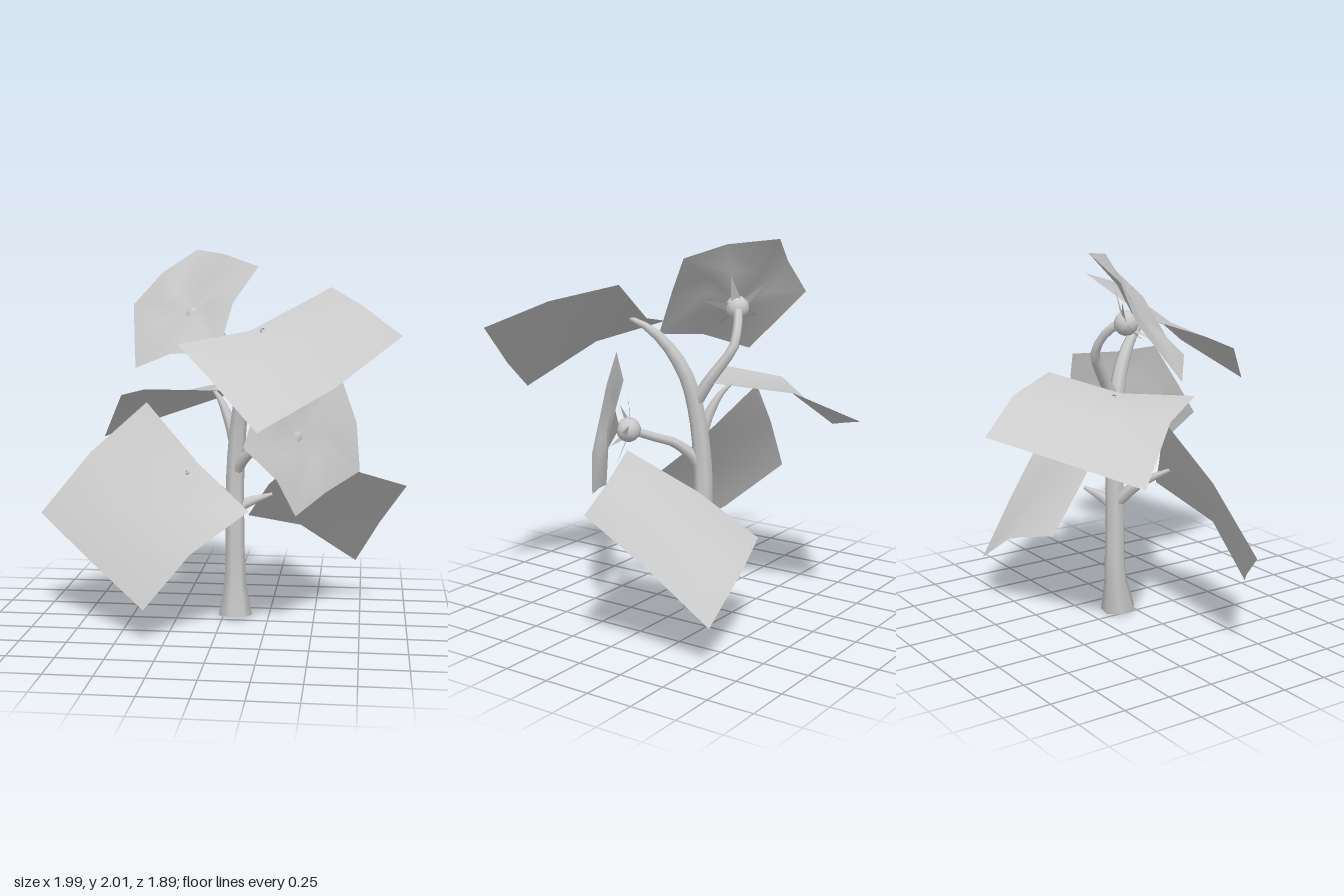
import * as THREE from 'three';

const grey = new THREE.MeshStandardMaterial({ color: 0xcccccc });
const thin = new THREE.MeshStandardMaterial({ color: 0xcccccc, side: THREE.DoubleSide });
const v = (p) => new THREE.Vector3(...p);

function add(parent, name, geometry, material = thin) {
  const mesh = new THREE.Mesh(geometry, material);
  mesh.name = name;
  parent.add(mesh);
  return mesh;
}

// Tube along a curve whose radius follows a list of values
function taperedTube(points, radii, segments = 10, sides = 6) {
  const curve = new THREE.CatmullRomCurve3(points.map(v));
  const geo = new THREE.TubeGeometry(curve, segments, 1, sides, false);
  const pos = geo.attributes.position;
  const p = new THREE.Vector3();
  for (let i = 0; i < pos.count; i++) {
    const t = Math.floor(i / (sides + 1)) / segments;
    const k = t * (radii.length - 1);
    const j = Math.min(Math.floor(k), radii.length - 2);
    const r = THREE.MathUtils.lerp(radii[j], radii[j + 1], k - j);
    const c = curve.getPointAt(t);
    p.fromBufferAttribute(pos, i).sub(c).multiplyScalar(r).add(c);
    pos.setXYZ(i, p.x, p.y, p.z);
  }
  return geo;
}

// Bent square leaf from four corners and four edge middles, both in order round the rim
function leafGeometry(c, m) {
  const corners = c.map(v), mids = m.map(v);
  const centre = new THREE.Vector3();
  mids.forEach((p) => centre.addScaledVector(p, 0.5));
  corners.forEach((p) => centre.addScaledVector(p, -0.25));
  const grid = [corners[0], mids[0], corners[1], mids[3], centre, mids[1], corners[3], mids[2], corners[2]];
  const geo = new THREE.PlaneGeometry(1, 1, 2, 2);
  grid.forEach((p, i) => geo.attributes.position.setXYZ(i, p.x, p.y, p.z));
  geo.computeVertexNormals();
  return geo;
}

// Five-cornered dished blossom: petals, bulb with knob, and sepals behind
function flower(name, rimPoints, centrePoint) {
  const group = new THREE.Group();
  group.name = name;
  const rim = rimPoints.map(v), centre = v(centrePoint), n = rim.length;
  const mean = new THREE.Vector3();
  rim.forEach((p) => mean.addScaledVector(p, 1 / n));
  const inner = rim.map((p) => mean.clone().lerp(p, 0.45));

  const index = [];
  for (let i = 0; i < n; i++) {
    const j = (i + 1) % n;
    index.push(0, 1 + j, 1 + i, 1 + i, 1 + j, 1 + n + j, 1 + i, 1 + n + j, 1 + n + i);
  }
  const petals = new THREE.BufferGeometry().setFromPoints([centre, ...inner, ...rim]);
  petals.setIndex(index);
  petals.computeVertexNormals();
  add(group, 'petals', petals);

  // Outward direction of the face (rim runs clockwise seen from the front)
  const normal = new THREE.Vector3();
  for (let i = 0; i < n; i++) {
    const a = rim[i].clone().sub(mean), b = rim[(i + 1) % n].clone().sub(mean);
    normal.add(b.cross(a));
  }
  normal.normalize();
  const bulbCentre = centre.clone().addScaledVector(normal, -0.048);
  const bulb = add(group, 'bulb', new THREE.SphereGeometry(0.065, 10, 8), grey);
  bulb.position.copy(bulbCentre);
  bulb.quaternion.setFromUnitVectors(new THREE.Vector3(0, 1, 0), normal);

  // Narrow pointed sepals under the edge middles
  const tris = [];
  for (let i = 1; i < n; i += 2) {
    const out = rim[i].clone().sub(mean).normalize();
    const side = out.clone().cross(normal).multiplyScalar(0.03);
    const root = bulbCentre.clone().addScaledVector(out, 0.04);
    const tip = bulbCentre.clone().addScaledVector(out, 0.19).addScaledVector(normal, 0.045);
    tris.push(root.clone().add(side), root.clone().sub(side), tip);
  }
  const sepals = new THREE.BufferGeometry().setFromPoints(tris);
  sepals.computeVertexNormals();
  add(group, 'sepals', sepals);
  return group;
}

export function createModel() {
  const model = new THREE.Group();
  model.name = 'plant';

  // Main stem with flared foot
  add(model, 'mainStem', taperedTube(
    [[0.065, 0, -0.08], [0.062, 0.22, -0.1], [0.06, 0.5, -0.1], [0.062, 0.8, -0.1], [0.085, 1.1, -0.075],
      [0.12, 1.3, -0.03], [0.17, 1.47, 0.07], [0.21, 1.55, 0.16], [0.24, 1.59, 0.24]],
    [0.095, 0.062, 0.055, 0.053, 0.052, 0.05, 0.047, 0.043, 0.038, 0.028, 0.012], 20, 7));
  const foot = add(model, 'stemFoot', new THREE.CircleGeometry(0.09, 7));
  foot.rotation.x = Math.PI / 2;
  foot.position.set(0.065, 0.001, -0.08);

  // Side stems
  const stems = {
    upperFlowerStem: [[0.09, 1.15, -0.07], [0.07, 1.28, -0.15], [0.04, 1.37, -0.21], [0.01, 1.45, -0.255],
      [-0.03, 1.53, -0.25], [-0.09, 1.6, -0.22], [-0.14, 1.63, -0.18]],
    lowerFlowerStem: [[0.06, 0.78, -0.1], [0.1, 0.86, -0.06], [0.18, 0.94, 0], [0.27, 0.98, 0.06], [0.38, 1.03, 0.14]],
    backRightLeafStem: [[0.06, 0.97, -0.09], [0.03, 1.07, -0.11], [-0.02, 1.18, -0.15], [-0.07, 1.24, -0.19]],
    backLeftLeafStem: [[0.05, 0.58, -0.1], [0.13, 0.625, -0.12], [0.26, 0.665, -0.17]],
    frontRightLeafStem: [[0.05, 0.62, -0.1], [-0.05, 0.73, -0.03], [-0.18, 0.825, 0.1]],
  };
  for (const [name, points] of Object.entries(stems)) {
    const ends = name.includes('Flower') ? [0.036, 0.026, 0.024] : [0.036, 0.028, 0.01];
    add(model, name, taperedTube(points, ends));
  }

  // Leaves: corners, then the middles of the edges following each corner
  add(model, 'frontLeftLeaf', leafGeometry(
    [[-0.19, 1.52, 0.32], [0.58, 1.805, 0.05], [0.935, 1.59, 0.62], [0.27, 1.16, 0.94]],
    [[0.17, 1.585, 0.185], [0.745, 1.72, 0.36], [0.625, 1.355, 0.755], [0, 1.4, 0.66]]));
  add(model, 'frontRightLeaf', leafGeometry(
    [[-0.43, 1.17, -0.13], [0.17, 0.65, 0.25], [-0.35, 0.17, 0.485], [-0.995, 0.57, 0.025]],
    [[-0.115, 0.865, 0.07], [-0.115, 0.455, 0.44], [-0.67, 0.35, 0.23], [-0.73, 0.9, -0.045]]));
  add(model, 'backLeftLeaf', leafGeometry(
    [[0.1, 0.48, -0.47], [0.45, 0.94, 0.11], [0.99, 0.75, -0.04], [0.72, 0.205, -0.575]],
    [[0.24, 0.715, -0.19], [0.725, 0.835, 0.03], [0.85, 0.485, -0.315], [0.4, 0.41, -0.565]]));
  add(model, 'backRightLeaf', leafGeometry(
    [[-0.4, 1.265, 0.09], [0.34, 1.32, -0.34], [-0.075, 1.125, -0.95], [-0.735, 0.93, -0.45]],
    [[-0.03, 1.24, -0.12], [0.12, 1.27, -0.68], [-0.4, 1.03, -0.7], [-0.585, 1.2, -0.2]]));

  // Flowers: rim points alternate corner and edge middle
  model.add(flower('upperFlower',
    [[-0.185, 2, -0.41], [-0.01, 1.975, -0.2], [0.19, 1.91, -0.065], [0.07, 1.725, 0.09], [0.01, 1.48, 0.22],
      [-0.26, 1.455, 0.12], [-0.475, 1.365, -0.05], [-0.51, 1.53, -0.21], [-0.54, 1.695, -0.37], [-0.375, 1.87, -0.35]],
    [-0.18, 1.66, -0.14]));
  model.add(flower('lowerFlower',
    [[0.27, 1.41, 0.31], [0.43, 1.37, 0.165], [0.63, 1.345, -0.01], [0.72, 1.09, 0.015], [0.74, 0.835, 0.02],
      [0.565, 0.75, 0.205], [0.42, 0.655, 0.37], [0.33, 0.85, 0.44], [0.165, 1.025, 0.51], [0.22, 1.21, 0.42]],
    [0.415, 1.04, 0.185]));
  return model;
}
